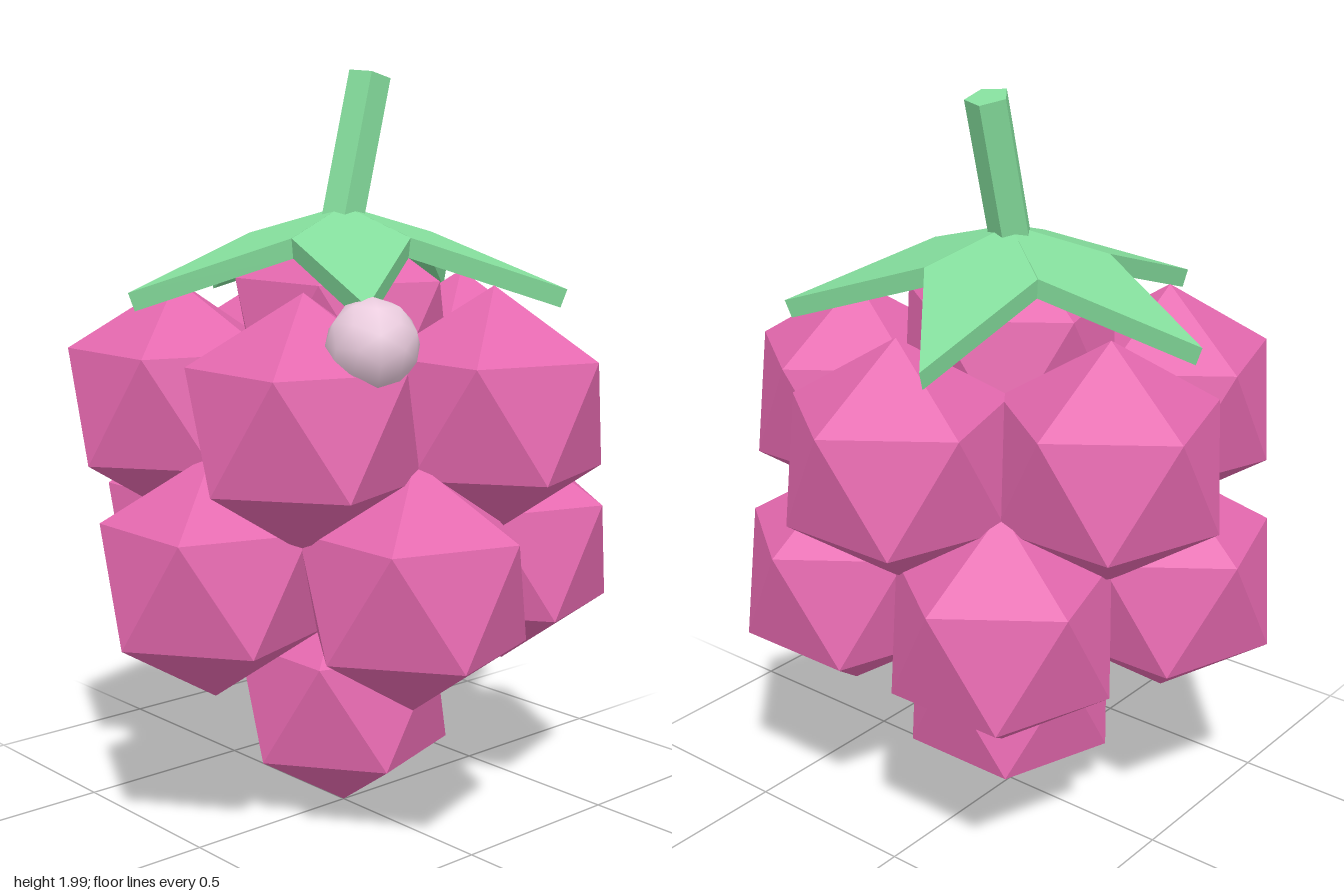
import * as THREE from 'three';

const pink = new THREE.MeshStandardMaterial({ color: 0xe468ae, flatShading: true });
const green = new THREE.MeshStandardMaterial({ color: 0x84dd9c, flatShading: true });
const pale = new THREE.MeshStandardMaterial({ color: 0xeaccde });

function addMesh(parent, name, geometry, material, x, y, z) {
  const mesh = new THREE.Mesh(geometry, material);
  mesh.name = name;
  mesh.position.set(x, y, z);
  parent.add(mesh);
  return mesh;
}

export function createModel() {
  const model = new THREE.Group();
  model.name = 'berry';

  // Drupelets: icosahedra standing on one corner
  const drupelets = new THREE.Group();
  drupelets.name = 'drupelets';
  model.add(drupelets);
  const drupelet = new THREE.IcosahedronGeometry(0.32, 0);
  drupelet.rotateZ(-Math.atan(2 / (1 + Math.sqrt(5))));

  addMesh(drupelets, 'bottomDrupelet', drupelet, pink, 0, 0.325, 0);
  addMesh(drupelets, 'topDrupelet', drupelet, pink, 0, 1.32, 0);

  // Two staggered rings of five
  const rings = [['lowerRingDrupelet', 0.725, Math.PI], ['upperRingDrupelet', 1.14, 0]];
  for (const [name, y, start] of rings) {
    for (let i = 0; i < 5; i++) {
      const a = start + (i * Math.PI * 2) / 5;
      addMesh(drupelets, name, drupelet, pink, 0.44 * Math.cos(a), y, 0.44 * Math.sin(a));
    }
  }

  // Leaf crown: five drooping kite-shaped sepals
  const crown = new THREE.Group();
  crown.name = 'leafCrown';
  model.add(crown);
  const kite = new THREE.Shape([
    new THREE.Vector2(0, 0),
    new THREE.Vector2(0.15, 0.22),
    new THREE.Vector2(0, 0.625),
    new THREE.Vector2(-0.15, 0.22),
  ]);
  const sepal = new THREE.ExtrudeGeometry(kite, { depth: 0.05, bevelEnabled: false });
  sepal.translate(0, 0, -0.05);
  sepal.rotateX(-Math.PI / 2 - 0.34);
  for (let i = 0; i < 5; i++) {
    addMesh(crown, 'sepal', sepal, green, 0, 1.65, 0).rotation.y = (i * Math.PI * 2) / 5;
  }

  // Leaning five-sided stem
  const stem = new THREE.CylinderGeometry(0.058, 0.058, 0.42, 5);
  stem.rotateY(Math.PI);
  stem.translate(0, 0.21, 0);
  addMesh(model, 'stem', stem, green, -0.015, 1.579, 0).rotation.z = -0.25;

  // Small pale bead on the front
  addMesh(model, 'bead', new THREE.IcosahedronGeometry(0.113, 1), pale, -0.31, 1.348, 0.455);

  return model;
}
